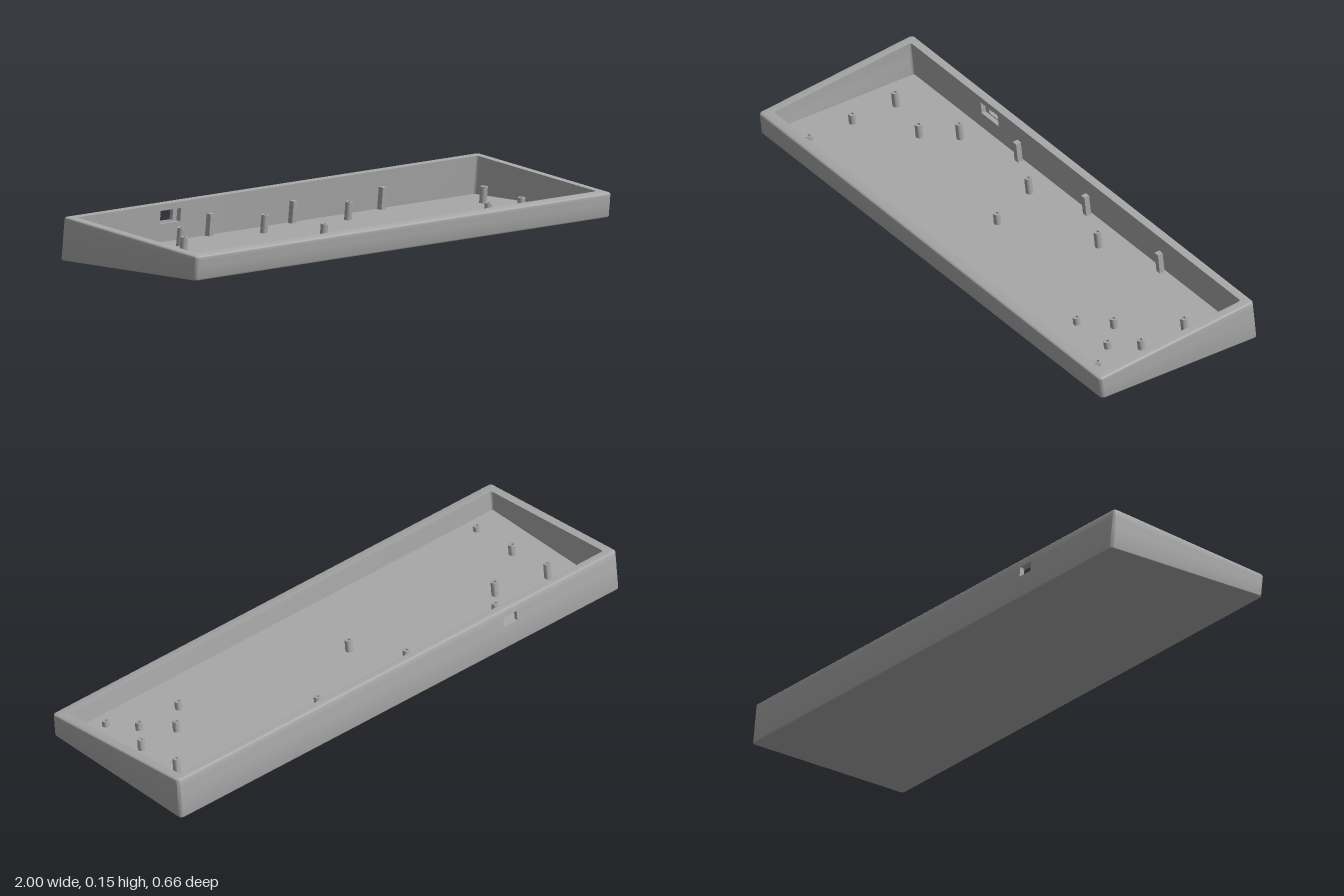
import * as THREE from 'three';
import { toCreasedNormals } from 'three/addons/utils/BufferGeometryUtils.js';

const SLOPE = 0.104;                 // tilt of the rim; walls stand square to it
const TILT = Math.atan(SLOPE);
const FLOOR = 0.016;
const PORT_X = -0.51;
const OUTER = { x: 1, front: 0.322, back: -0.33, r: 0.014 };
const INNER = { x: 0.965, front: 0.281, back: -0.298, r: 0.01 };
const PORT = { half: 0.03, y0: 0.085, y1: 0.122 };      // opening in the outer face
const RECESS = { half: 0.05, y0: 0.08, y1: 0.126 };     // wider pocket on the inside

const rimY = (z0) => (0.1196 - SLOPE * z0) / (1 + SLOPE * SLOPE);
const lean = (x, y, z0) => new THREE.Vector3(x, y, z0 + SLOPE * y);

// Rounded rectangle as [x, z0] pairs, with extra points on the back edge beside the port
function footprint({ x, front, back, r }, inset = 0) {
  const rad = r - inset * 0.8, pts = [];
  const corners = [[1, 1], [-1, 1], [-1, -1], [1, -1]];
  corners.forEach(([sx, sz], c) => {
    const cx = sx * (x - inset - rad);
    const cz = sz > 0 ? front - inset - rad : back + inset + rad;
    for (let k = 0; k <= 6; k++) {
      const a = (c + k / 6) * Math.PI / 2;
      pts.push([cx + rad * Math.cos(a), cz + rad * Math.sin(a)]);
    }
    if (c === 2) {
      for (const d of [-RECESS.half, -PORT.half, PORT.half, RECESS.half]) {
        pts.push([PORT_X + d, back + inset]);
      }
    }
  });
  return pts;
}

// Joins successive rings of points with quads; skip() leaves openings
function loft(rings, skip = () => false) {
  const pos = [];
  const tri = (a, b, c) => {
    if (a.distanceTo(b) > 1e-7 && b.distanceTo(c) > 1e-7 && c.distanceTo(a) > 1e-7) {
      for (const p of [a, b, c]) pos.push(p.x, p.y, p.z);
    }
  };
  for (let k = 0; k < rings.length - 1; k++) {
    const n = rings[k].length;
    for (let i = 0; i < n; i++) {
      const j = (i + 1) % n;
      const a = rings[k][i], b = rings[k][j], c = rings[k + 1][i], d = rings[k + 1][j];
      const mid = a.clone().add(b).add(c).add(d).multiplyScalar(0.25);
      if (skip(mid)) continue;
      tri(a, c, b);
      tri(b, c, d);
    }
  }
  const geo = new THREE.BufferGeometry();
  geo.setAttribute('position', new THREE.Float32BufferAttribute(pos, 3));
  return toCreasedNormals(geo, 0.6);
}

function shellGeometry() {
  const ring = (shape, inset, yAt) => footprint(shape, inset).map(([x, z]) => lean(x, yAt(z), z));
  const centre = (y) => footprint(OUTER).map(() => new THREE.Vector3(0, y, 0));
  const share = (shape, h) => (z) => h * rimY(z) / rimY(shape.back);
  const bevel = (r, k) => [r * (1 - Math.cos(k * Math.PI / 6)), r * (1 - Math.sin(k * Math.PI / 6))];
  const rings = [centre(0)];
  // underside edge
  for (let k = 3; k >= 0; k--) {
    const [inset, up] = bevel(0.005, k);
    rings.push(ring(OUTER, inset, () => up));
  }
  // outer walls
  for (const h of [PORT.y0, PORT.y1]) rings.push(ring(OUTER, 0, share(OUTER, h)));
  // rounded rim edge
  for (let k = 0; k <= 3; k++) {
    const [inset, down] = bevel(0.007, k);
    rings.push(ring(OUTER, inset, (z) => rimY(z) - down));
  }
  // flat rim, inner walls and floor
  rings.push(ring(INNER, 0, rimY));
  for (const h of [RECESS.y1, RECESS.y0]) rings.push(ring(INNER, 0, share(INNER, h)));
  rings.push(ring(INNER, 0, () => FLOOR), centre(FLOOR));

  return loft(rings, (m) => {
    if (m.z > -0.27) return false;
    const zWall = m.z - SLOPE * m.y;
    const hole = Math.abs(zWall - OUTER.back) < 0.002 ? PORT
      : Math.abs(zWall - INNER.back) < 0.002 ? RECESS : null;
    return hole !== null && Math.abs(m.x - PORT_X) < hole.half && m.y > hole.y0 && m.y < hole.y1;
  });
}

// Stepped passage through the back wall
function portGeometry() {
  const rect = ({ half, y0, y1 }, z0) => [[-half, y0], [half, y0], [half, y1], [-half, y1]]
    .map(([x, y]) => lean(PORT_X + x, y, z0));
  const mid = -0.316;
  return loft([rect(PORT, OUTER.back), rect(PORT, mid), rect(RECESS, mid), rect(RECESS, INNER.back)]);
}

// Screw post with a blind hole in its top
function postGeometry(h) {
  const r = 0.013, hole = 0.006, depth = 0.015;
  const profile = [[r, 0], [r, h], [hole, h], [hole, h - depth], [0, h - depth]];
  const geo = new THREE.LatheGeometry(profile.map(([x, y]) => new THREE.Vector2(x, y)), 20);
  return toCreasedNormals(geo, 0.6);
}

export function createModel() {
  const group = new THREE.Group();
  group.name = 'keyboardCase';
  const grey = new THREE.MeshStandardMaterial({ color: 0xa8a8a8 });
  grey.name = 'case grey';

  const add = (name, geo) => {
    const mesh = new THREE.Mesh(geo, grey);
    mesh.name = name;
    group.add(mesh);
    return mesh;
  };
  add('caseShell', shellGeometry());
  add('cablePort', portGeometry());

  // Screw posts, all ending on one plane parallel to the rim
  const base = FLOOR - 0.006;
  const posts = [[-0.555, -0.19], [-0.15, -0.19], [0.255, -0.19], [-0.645, -0.085],
    [-0.06, 0.005], [0.685, 0.05], [0.595, 0.14], [0.775, 0.14]];
  for (const x of [-0.845, 0.845]) for (const z of [-0.13, 0.05, 0.23]) posts.push([x, z]);
  for (const [x, z] of posts) {
    const h = 0.06 - SLOPE * z - base;
    const post = add('screwPost', postGeometry(h));
    post.position.set(x, base, z - SLOPE * h);
    post.rotation.x = TILT;
  }

  // Square support pegs along the back wall
  for (const x of [-0.33, 0.07, 0.5]) {
    const h = 0.084;
    const peg = add('supportPeg', new THREE.BoxGeometry(0.02, h, 0.02).translate(0, h / 2, 0));
    peg.position.set(x, base, -0.272 - SLOPE * h);
    peg.rotation.x = TILT;
  }
  return group;
}
